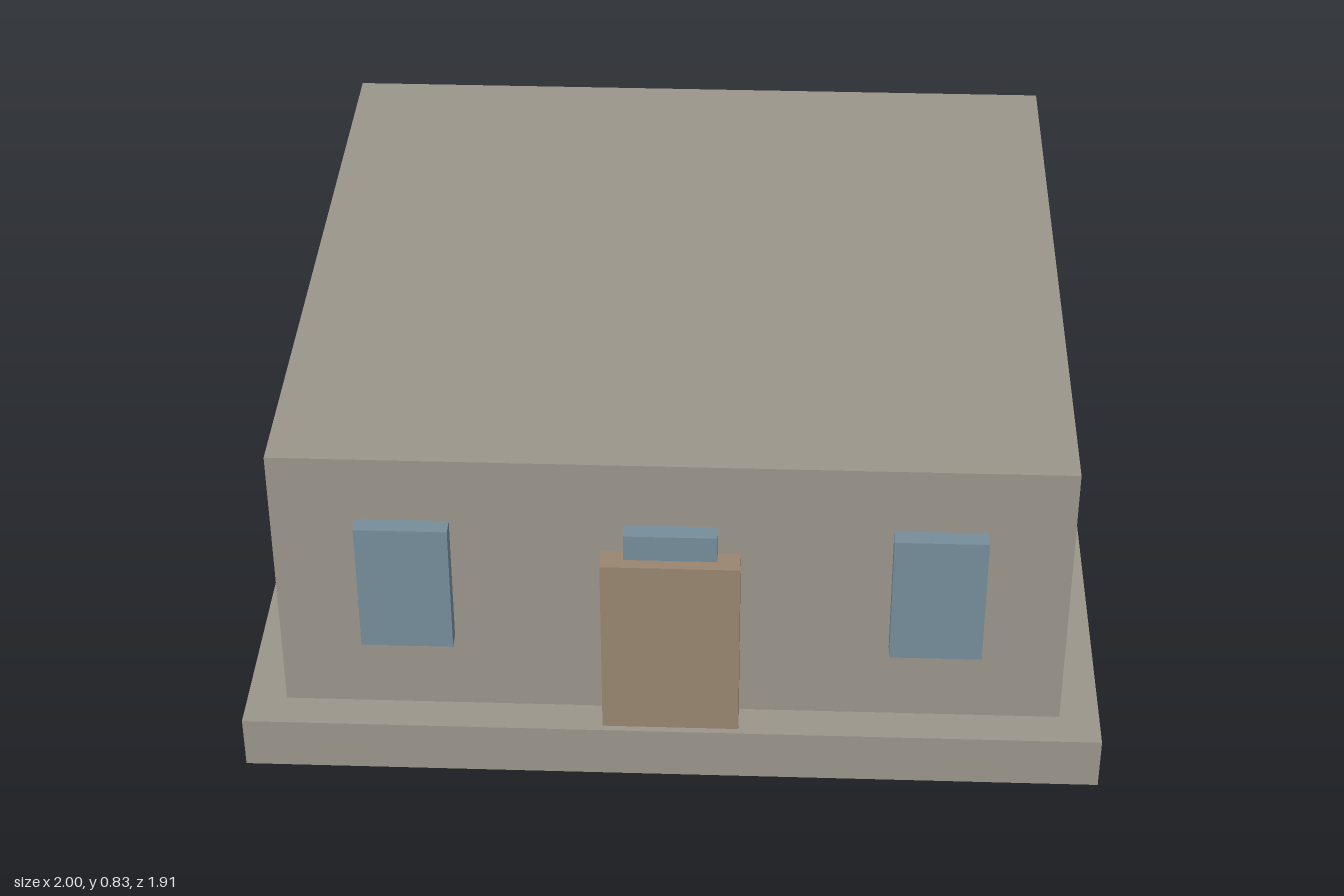
import * as THREE from 'three';

const material = (name, color) => {
  const m = new THREE.MeshStandardMaterial({ color });
  m.name = name;
  return m;
};

export function createModel() {
  const model = new THREE.Group();
  model.name = 'house';
  const stone = material('warm grey stone', 0x9a958b);
  const glass = material('blue grey glass', 0x758d9a);
  const wood = material('brown wood', 0x988570);

  // Adds a block from its size, centre x and z, and bottom height
  const block = (name, mat, [w, h, d], x, bottom, z) => {
    const mesh = new THREE.Mesh(new THREE.BoxGeometry(w, h, d), mat);
    mesh.name = name;
    mesh.position.set(x, bottom + h / 2, z);
    model.add(mesh);
  };

  // Plinth and main body
  block('foundation', stone, [2, 0.13, 1.912], 0, 0, 0);
  block('walls', stone, [1.814, 0.696, 1.736], 0, 0.13, 0);

  // Door stands just clear of the front wall
  block('door', wood, [0.316, 0.466, 0.06], 0, 0.13, 0.91);

  // Three projecting windows on the front and back
  for (const [side, z] of [['front', 0.89], ['back', -0.89]]) {
    for (const x of [-0.607, 0, 0.607]) {
      block(side + 'Window', glass, [0.212, 0.33, 0.042], x, 0.332, z);
    }
  }
  return model;
}
